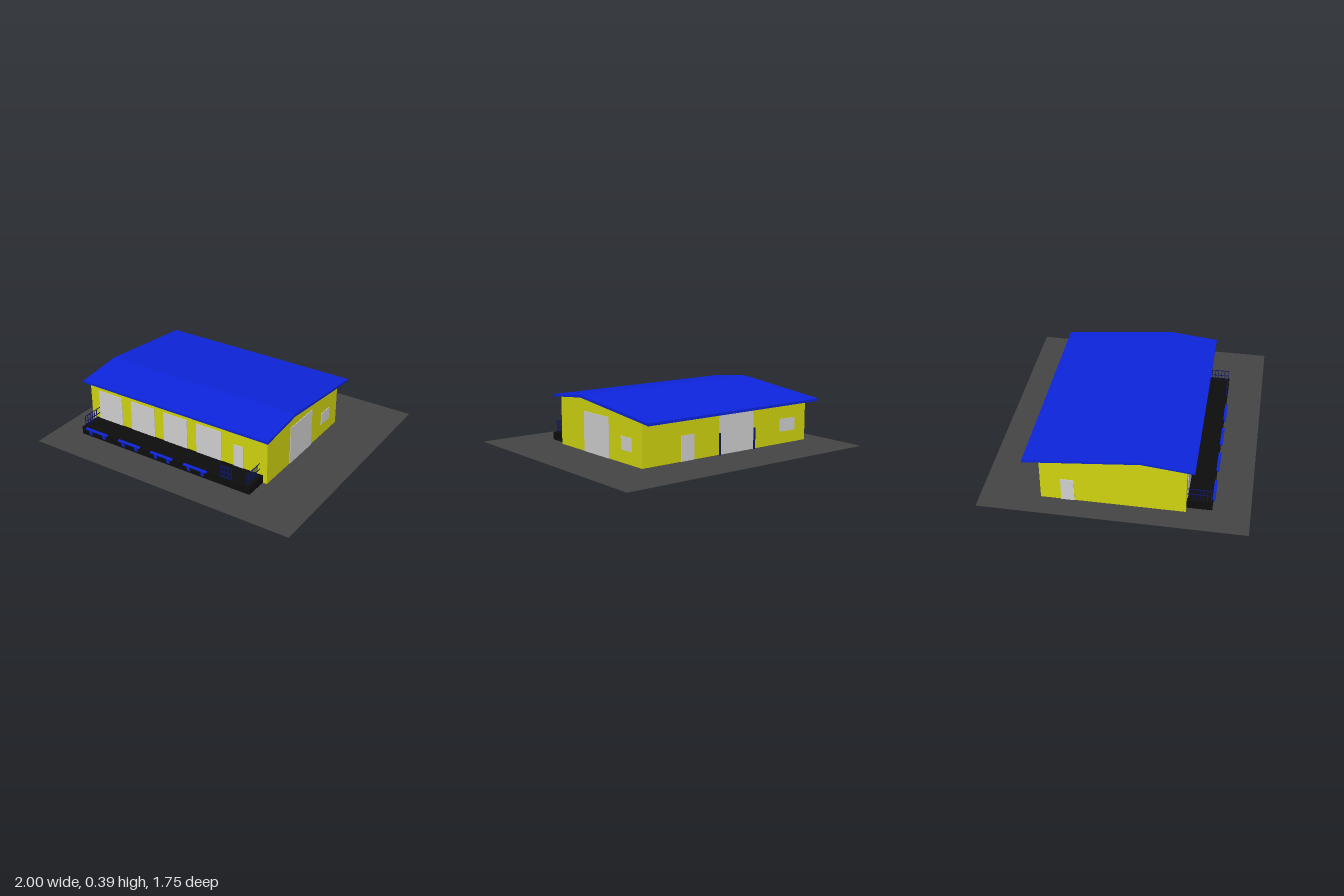
import * as THREE from 'three';

const mat = (name, color, side = THREE.FrontSide) => {
  const m = new THREE.MeshStandardMaterial({ color, side });
  m.name = name;
  return m;
};

export function createModel() {
  const group = new THREE.Group();
  const yellow = mat('wallYellow', 0xd0d40f);
  const blue = mat('roofBlue', 0x0d24dc);
  const grey = mat('doorGrey', 0xd0d0d0);
  const asphalt = mat('asphaltGrey', 0x454545);
  const black = mat('dockBlack', 0x0d0d0d);
  const navy = mat('railNavy', 0x0c1463);

  const add = (name, geo, material, parent = group) => {
    const mesh = new THREE.Mesh(geo, material);
    mesh.name = name;
    parent.add(mesh);
    return mesh;
  };
  // Box given by its lower and upper limits on each axis
  const box = (name, material, [x0, x1], [y0, y1], [z0, z1], parent) => {
    const geo = new THREE.BoxGeometry(x1 - x0, y1 - y0, z1 - z0);
    geo.translate((x0 + x1) / 2, (y0 + y1) / 2, (z0 + z1) / 2);
    return add(name, geo, material, parent);
  };
  // Side profile of [z, y] points, extruded from x0 to x1
  const profile = (name, material, points, x0, x1, parent) => {
    const shape = new THREE.Shape(points.map(([z, y]) => new THREE.Vector2(z, y)));
    const geo = new THREE.ExtrudeGeometry(shape, { depth: x1 - x0, bevelEnabled: false });
    geo.rotateY(-Math.PI / 2).translate(x1, 0, 0);
    return add(name, geo, material, parent);
  };

  // Yard, walls and shallow gabled roof
  box('yard', asphalt, [-1, 1], [0, 0.003], [-0.875, 0.875]);
  const [left, right, back, front] = [-0.85, 0.6, -0.48, 0.465];
  profile('walls', yellow,
    [[back, 0.001], [front, 0.001], [front, 0.343], [0.175, 0.373], [back, 0.304]], left, right);
  profile('roof', blue,
    [[-0.585, 0.295], [0.175, 0.374], [0.515, 0.338], [0.515, 0.355], [0.175, 0.392], [-0.585, 0.313]],
    -0.87, 0.63);

  // Doors and windows as thin plates on the four walls
  const t = 0.004;
  const frontPlate = (name, x, y) => box(name, grey, x, y, [front - t, front + t]);
  const backPlate = (name, x, y) => box(name, grey, x, y, [back - t, back + t]);
  const bays = [[-0.78, -0.575], [-0.495, -0.295], [-0.22, -0.025], [0.05, 0.25]];
  bays.forEach((x, i) => frontPlate(`loadingDoor${i + 1}`, x, [0.06, 0.28]));
  frontPlate('frontDoor', [0.345, 0.42], [0.06, 0.22]);
  backPlate('backDoor', [0.178, 0.288], [0.003, 0.175]);
  backPlate('backGate', [-0.345, -0.04], [0.003, 0.28]);
  backPlate('backWindow', [-0.745, -0.6], [0.09, 0.18]);
  box('sideGate', grey, [right - t, right + t], [0.003, 0.28], [-0.115, 0.175]);
  box('sideWindow', grey, [right - t, right + t], [0.09, 0.18], [-0.37, -0.255]);
  box('sideDoor', grey, [left - t, left + t], [0.003, 0.17], [-0.345, -0.258]);

  // Guard posts beside the back gate
  for (const x of [-0.346, -0.034]) {
    const post = add('guardPost', new THREE.CylinderGeometry(0.007, 0.007, 0.152, 12), navy);
    post.position.set(x, 0.077, -0.494);
  }

  // Loading dock with a lip and two brackets at each bay
  const deck = 0.06, edge = 0.63;
  box('loadingDock', black, [-0.81, 0.57], [0.001, deck], [front, edge]);
  bays.forEach(([x0, x1]) => {
    const leveller = new THREE.Group();
    leveller.name = 'dockLeveller';
    group.add(leveller);
    box('lip', blue, [x0 + 0.01, x1 - 0.005], [0.053, deck + 0.002], [0.625, 0.644], leveller);
    for (const x of [x0 + 0.05, x1 - 0.04]) {
      profile('bracket', blue, [[edge, 0.015], [0.636, 0.018], [0.642, 0.053], [edge, 0.053]],
        x - 0.01, x + 0.01, leveller);
    }
  });

  // Side railings of the dock
  const r = 0.002, top = 0.142;
  for (const x of [-0.785, 0.545]) {
    const rail = new THREE.Group();
    rail.name = 'sideRailing';
    group.add(rail);
    for (const y of [0.1, top]) {
      box('railBar', navy, [x - r, x + r], [y - r, y + r], [front, 0.62], rail);
    }
    for (const z of [0.62, 0.595, 0.57, 0.547, 0.525, 0.502]) {
      box('railPost', navy, [x - r, x + r], [deck, top], [z - r, z + r], rail);
    }
  }

  // Small barrier at the dock edge before the front door
  const barrier = new THREE.Group();
  barrier.name = 'barrier';
  group.add(barrier);
  const b = 0.003, z = [0.621, 0.627];
  for (const x of [0.348, 0.375, 0.402, 0.429]) {
    box('barrierPost', navy, [x - b, x + b], [deck, top], z, barrier);
  }
  for (const y of [0.064, 0.1, top]) {
    box('barrierBar', navy, [0.345, 0.432], [y - b, y + b], z, barrier);
  }
  return group;
}
